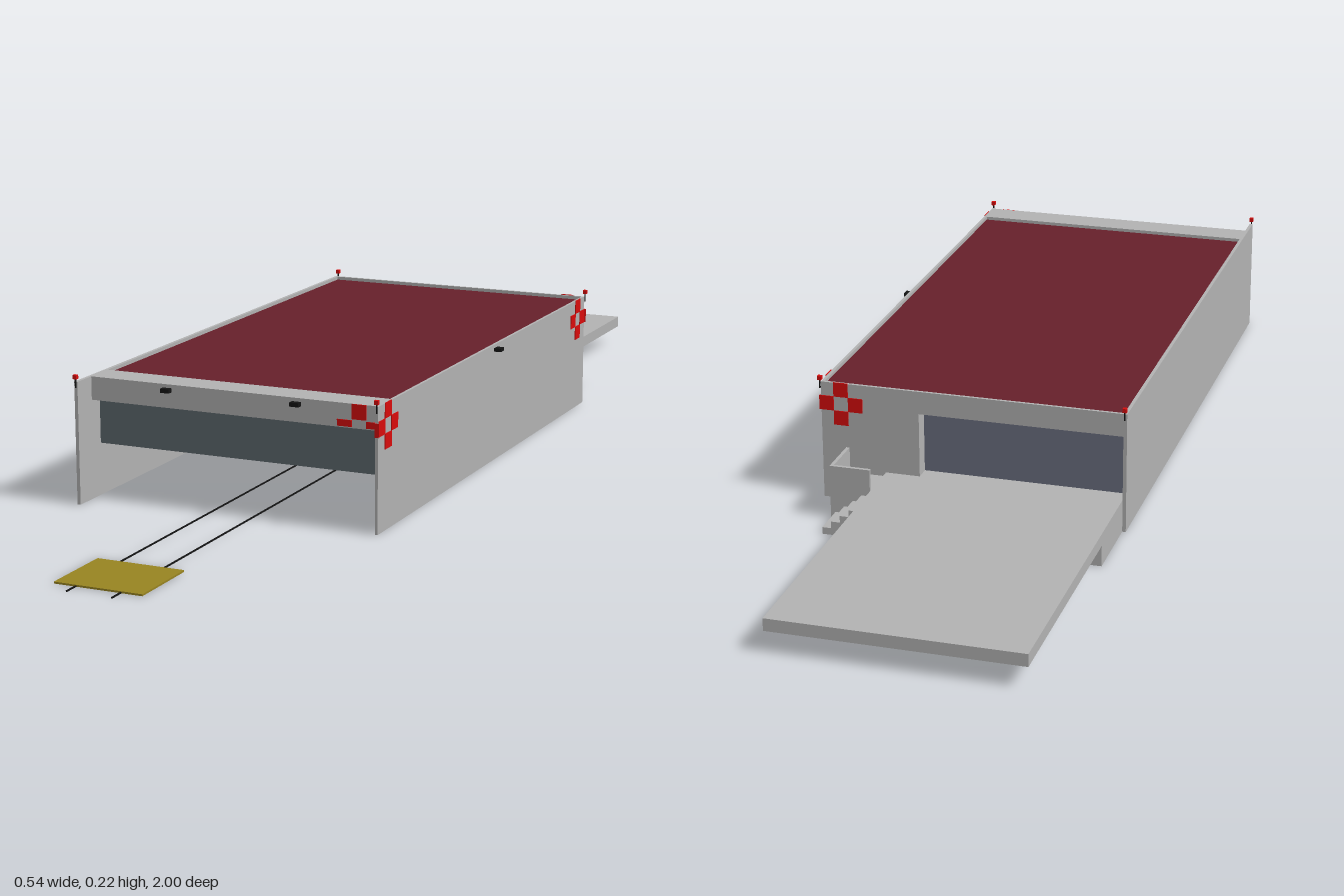
import * as THREE from 'three';

export function createModel() {
  const model = new THREE.Group();
  const mat = (name, color) => new THREE.MeshStandardMaterial({ name, color });
  const concrete = mat('concrete grey', 0xb2b2b2);
  const roofRed = mat('roof red', 0x66202b);
  const frontGlass = mat('front glass', 0x5e686e);
  const rearGlass = mat('rear glass', 0x6a6e80);
  const signalRed = mat('signal red', 0xd80c0c);
  const black = mat('black', 0x141414);
  const ochre = mat('mat ochre', 0x988421);

  // Box given by its lower and upper limits on each axis
  function box(name, material, [x0, x1], [y0, y1], [z0, z1], parent = model) {
    const mesh = new THREE.Mesh(new THREE.BoxGeometry(x1 - x0, y1 - y0, z1 - z0), material);
    mesh.position.set((x0 + x1) / 2, (y0 + y1) / 2, (z0 + z1) / 2);
    mesh.name = name;
    parent.add(mesh);
    return mesh;
  }
  const around = (c, r) => [c - r, c + r];

  // Hall shell: open underneath and at the front
  box('leftWall', concrete, [0.252, 0.257], [0, 0.21], [-0.445, 0.545]);
  box('rightWall', concrete, [-0.272, -0.266], [0, 0.21], [-0.445, 0.585]);
  box('partition', concrete, [-0.266, 0.252], [0, 0.196], [0.01, 0.017]);
  box('roof', roofRed, [-0.266, 0.252], [0.196, 0.204], [-0.44, 0.485]);
  box('frontHeader', concrete, [-0.266, 0.252], [0.17, 0.21], [0.485, 0.54]);
  box('frontWindow', frontGlass, [-0.266, 0.252], [0.09, 0.17], [0.508, 0.514]);

  // Rear wall with recessed window
  box('rearParapet', concrete, [-0.266, 0.252], [0.17, 0.21], [-0.445, -0.44]);
  box('rearHeader', concrete, [-0.266, 0.252], [0.17, 0.196], [-0.44, -0.41]);
  box('rearWall', concrete, [0.085, 0.252], [0, 0.17], [-0.445, -0.41]);
  box('rearWindow', rearGlass, [-0.266, 0.085], [0.055, 0.17], [-0.418, -0.412]);

  // Terrace on its plinth
  box('terrace', concrete, [-0.266, 0.145], [0.036, 0.057], [-1, -0.412]);
  box('plinth', concrete, [-0.266, 0.145], [0, 0.036], [-0.58, -0.425]);

  // Landing with low walls, and stairs running down sideways
  const landing = new THREE.Group();
  landing.name = 'landing';
  model.add(landing);
  box('landingFloor', concrete, [0.145, 0.21], [0.036, 0.05], [-0.52, -0.445], landing);
  box('landingSideWall', concrete, [0.209, 0.215], [0, 0.095], [-0.526, -0.445], landing);
  box('landingRearWall', concrete, [0.145, 0.209], [0, 0.095], [-0.526, -0.52], landing);
  for (let i = 0; i < 4; i++) {
    const x = 0.145 + i * 0.0155;
    box('stairStep', concrete, [x, x + 0.0155], [0, 0.048 - i * 0.012], [-0.588, -0.526], landing);
  }

  // Red crosses made of four squares around an empty centre
  const s = 0.0127;
  const arms = [[0, 1], [-1, 0], [1, 0], [0, -1]];
  for (const z of [0.505, -0.405]) {
    for (const [a, b] of arms) {
      box('sideCross', signalRed, [0.257, 0.2585],
        around(0.173 + b * 2 * s, s), around(z + a * 2 * s, s));
    }
  }
  for (const [a, b] of arms) {
    box('rearCross', signalRed, around(0.222 + a * 2 * s, s),
      around(0.173 + b * 2 * s, s), [-0.4465, -0.445]);
  }
  box('frontCrossTop', signalRed, [0.21, 0.235], [0.185, 0.21], [0.54, 0.5415]);
  box('frontCrossInner', signalRed, [0.184, 0.21], [0.172, 0.183], [0.54, 0.5415]);
  box('frontCrossOuter', signalRed, [0.235, 0.252], [0.172, 0.183], [0.54, 0.5415]);
  box('frontCrossEdge', signalRed, [0.252, 0.2585], [0.16, 0.183], [0.545, 0.5465]);

  // Floodlights on the front and the left side
  for (const x of [-0.123, 0.112]) {
    box('frontLamp', black, around(x, 0.008), [0.197, 0.204], [0.54, 0.55]);
  }
  box('sideLamp', black, [0.257, 0.27], [0.198, 0.204], around(0.03, 0.008));

  // Corner beacons on short posts
  for (const [x, z] of [[-0.269, -0.449], [0.257, -0.449], [0.257, 0.549], [-0.269, 0.586]]) {
    box('beaconPost', black, around(x, 0.001), [0.2, 0.215], around(z, 0.001));
    box('beacon', signalRed, around(x, 0.0035), [0.215, 0.222], around(z, 0.0035));
  }

  // Ground marking: pad and two thin guide lines
  box('pad', ochre, [-0.084, 0.067], [0, 0.003], [0.843, 0.973]);
  for (const x of [-0.046, 0.031]) {
    box('guideLine', black, around(x, 0.0012), [0, 0.002], [0.017, 1]);
  }
  return model;
}
